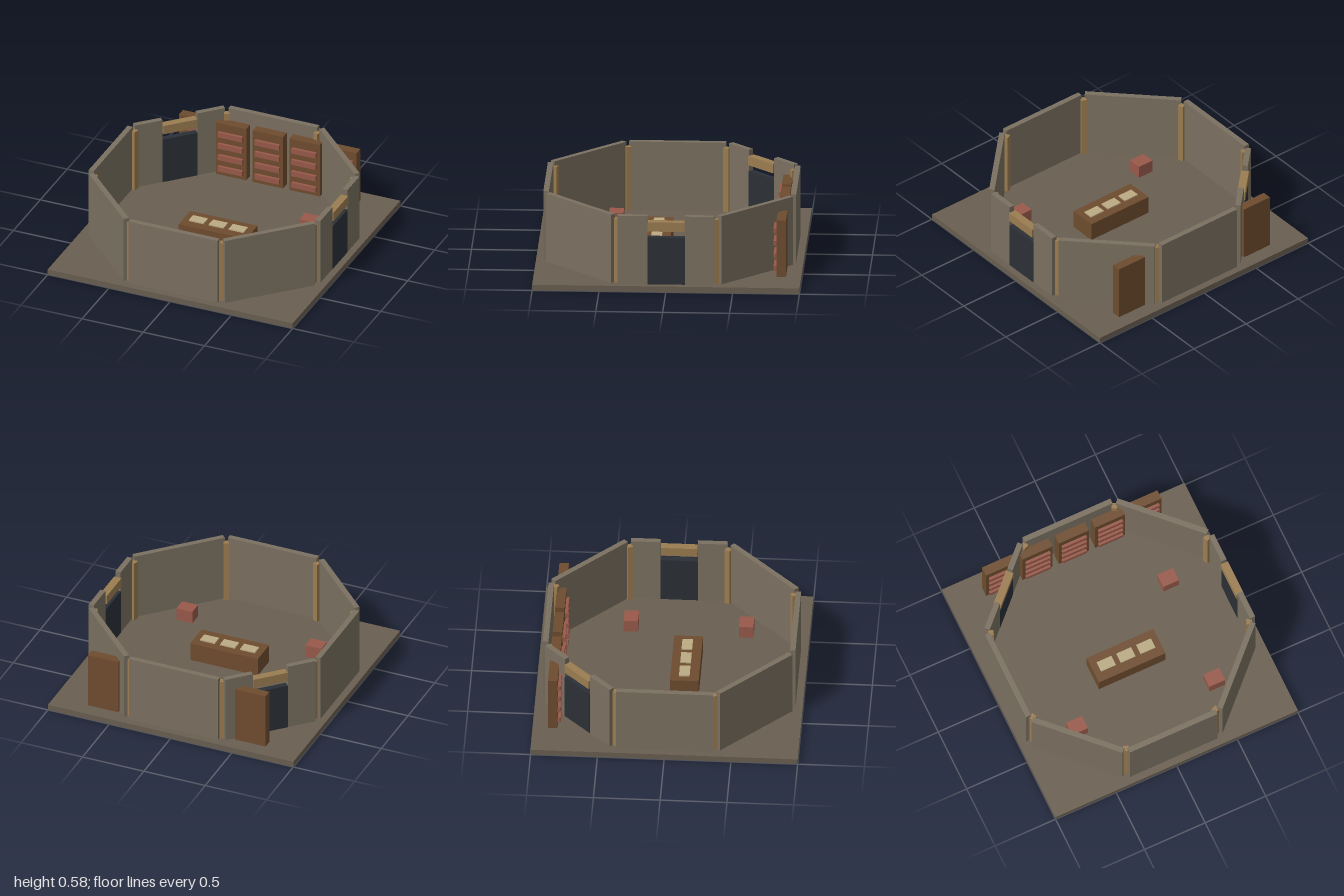
import * as THREE from 'three';

const mat = (color) => new THREE.MeshStandardMaterial({ color, flatShading: true });

export function createModel() {
  const root = new THREE.Group();
  const stone = mat(0x7a7060), floorMat = mat(0x695e50), oak = mat(0x9a7c50);
  const walnut = mat(0x6e4c2e), redCloth = mat(0x98594a), dark = mat(0x2b3036), paper = mat(0xbbaa84);
  const floorTop = 0.045;

  // Box given its size, the centre of its underside and its parent
  function box(parent, name, material, [w, h, d], [x, y, z]) {
    const mesh = new THREE.Mesh(new THREE.BoxGeometry(w, h, d), material);
    mesh.name = name;
    mesh.position.set(x, y + h / 2, z);
    parent.add(mesh);
    return mesh;
  }

  box(root, 'floor', floorMat, [2, floorTop, 2], [0, 0, 0]);

  // Octagonal ring of walls; index 0 faces +z, index 2 faces +x
  const apothem = 0.925, wallLength = 0.724, wallHeight = 0.533, thick = 0.042, doorWidth = 0.28;
  const doorSides = [2, 5];
  for (let i = 0; i < 8; i++) {
    const side = new THREE.Group();
    side.name = 'wallSide';
    side.rotation.y = (i * Math.PI) / 4;
    root.add(side);
    if (doorSides.includes(i)) {
      // Two wall pieces with a dark door and a timber beam between them
      const part = (wallLength - doorWidth) / 2;
      for (const s of [-1, 1]) {
        box(side, 'wallPiece', stone, [part, wallHeight, thick], [s * (doorWidth + part) / 2, floorTop, apothem]);
      }
      box(side, 'door', dark, [doorWidth, 0.367, 0.046], [0, floorTop, apothem]);
      box(side, 'doorBeam', oak, [0.274, 0.072, 0.06], [0, 0.46, apothem]);
    } else {
      box(side, 'wall', stone, [wallLength, wallHeight, thick], [0, floorTop, apothem]);
    }
  }

  // Timber posts at the corners
  for (let i = 0; i < 8; i++) {
    const corner = new THREE.Group();
    corner.name = 'cornerPost';
    corner.rotation.y = ((i + 0.5) * Math.PI) / 4;
    box(corner, 'post', oak, [0.042, 0.5, 0.042], [0, floorTop, 0.966]);
    root.add(corner);
  }

  // Row of bookcases along the back, each with four rows of books
  for (let i = -2; i <= 2; i++) {
    const bookcase = new THREE.Group();
    bookcase.name = 'bookcase';
    bookcase.position.x = i * 0.3;
    box(bookcase, 'bookcaseBody', walnut, [0.248, 0.443, 0.072], [0, floorTop, -0.85]);
    for (let r = 0; r < 4; r++) {
      box(bookcase, 'bookRow', redCloth, [0.2, 0.042, 0.04], [0, 0.083 + r * 0.098, -0.812]);
    }
    root.add(bookcase);
  }

  // Reading table with three sheets
  box(root, 'table', walnut, [0.55, 0.145, 0.215], [0, floorTop, 0.108]);
  for (const x of [-0.163, 0, 0.163]) {
    box(root, 'sheet', paper, [0.122, 0.01, 0.08], [x, 0.19, 0.105]);
  }

  // Low stools
  for (const [x, z] of [[0.555, -0.337], [-0.56, 0.44], [0.53, 0.528]]) {
    box(root, 'stool', redCloth, [0.13, 0.1, 0.108], [x, floorTop, z]);
  }
  return root;
}
